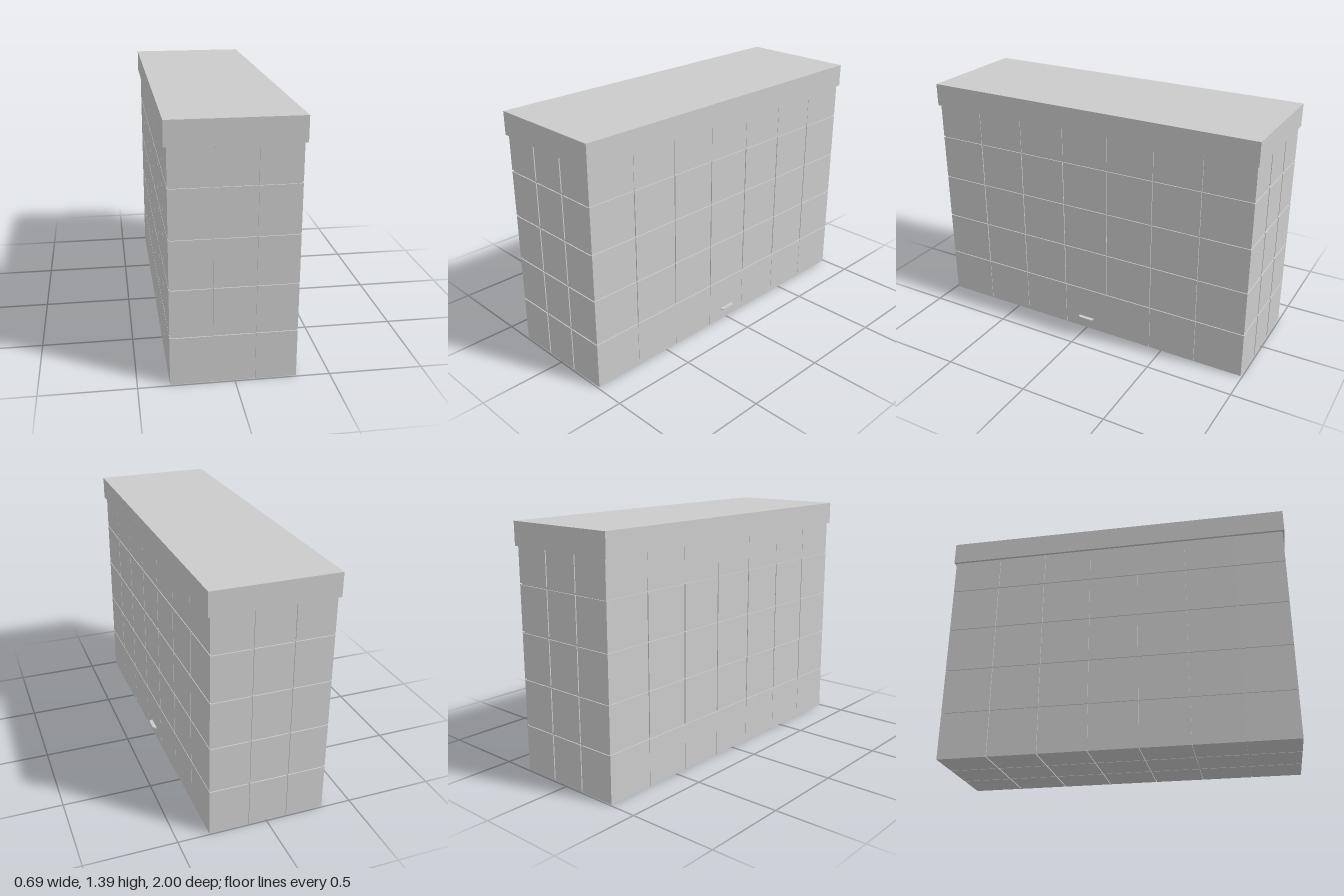
import * as THREE from 'three';

const material = new THREE.MeshStandardMaterial({ color: 0xcccccc, flatShading: true });
const DEPTH = 0.006; // depth of the joints between panels
const XS = [-0.334, -0.115, 0.103, 0.323];
const YS = [0, 0.268, 0.531, 0.795, 1.057, 1.26];
const ZS = [-0.99, -0.705, -0.422, -0.141, 0.141, 0.422, 0.705, 0.99];

// Box given by its lower and upper corners
function block(name, min, max) {
  const geometry = new THREE.BoxGeometry(max[0] - min[0], max[1] - min[1], max[2] - min[2]);
  const mesh = new THREE.Mesh(geometry, material);
  mesh.name = name;
  mesh.position.set((min[0] + max[0]) / 2, (min[1] + max[1]) / 2, (min[2] + max[2]) / 2);
  return mesh;
}

// Span of cell i, trimmed by half a joint at inner edges and by `edge` at the outer ones
function span(list, i, gap, edge = 0) {
  return [
    list[i] + (i === 0 ? edge : gap / 2),
    list[i + 1] - (i === list.length - 2 ? edge : gap / 2),
  ];
}

function eachCell(a, b, fn) {
  for (let i = 0; i < a.length - 1; i++) for (let j = 0; j < b.length - 1; j++) fn(i, j);
}

export function createModel() {
  const model = new THREE.Group();
  model.name = 'panelledCabinet';

  const [x0, x1] = [XS[0], XS[3]];
  const z1 = ZS[7];

  // Core behind the panels, visible in the joints
  model.add(block('core', [x0 + DEPTH, DEPTH, -z1 + DEPTH], [x1 - DEPTH, 1.26, z1 - DEPTH]));

  // Long sides: fine joints, almost closed in the top and bottom rows
  for (const side of [-1, 1]) {
    const group = new THREE.Group();
    group.name = side > 0 ? 'leftPanels' : 'rightPanels';
    const x = side > 0 ? [x1 - DEPTH, x1] : [x0, x0 + DEPTH];
    eachCell(ZS, YS, (i, j) => {
      const z = span(ZS, i, j === 0 || j === 4 ? 0.002 : 0.006);
      const y = span(YS, j, 0.006);
      group.add(block('sidePanel', [x[0], y[0], z[0]], [x[1], y[1], z[1]]));
    });
    model.add(group);
  }

  // Short ends: wider joints
  for (const side of [-1, 1]) {
    const group = new THREE.Group();
    group.name = side > 0 ? 'frontPanels' : 'backPanels';
    const z = side > 0 ? [z1 - DEPTH, z1] : [-z1, -z1 + DEPTH];
    eachCell(XS, YS, (i, j) => {
      const x = span(XS, i, 0.01, DEPTH);
      const y = span(YS, j, 0.012);
      group.add(block('endPanel', [x[0], y[0], z[0]], [x[1], y[1], z[1]]));
    });
    model.add(group);
  }

  // Underside
  const base = new THREE.Group();
  base.name = 'basePanels';
  eachCell(XS, ZS, (i, j) => {
    const x = span(XS, i, 0.006, DEPTH);
    const z = span(ZS, j, 0.006, DEPTH);
    base.add(block('basePanel', [x[0], 0, z[0]], [x[1], DEPTH, z[1]]));
  });
  model.add(base);

  // Overhanging top slab
  model.add(block('topSlab', [-0.349, 1.257, -1], [0.337, 1.387, 1]));

  // Thin pull handle low on one long side
  const outline = new THREE.Shape();
  outline.moveTo(0, -0.05);
  outline.lineTo(0.012, -0.047);
  outline.quadraticCurveTo(0.023, -0.043, 0.023, -0.03);
  outline.lineTo(0.023, 0.03);
  outline.quadraticCurveTo(0.023, 0.043, 0.012, 0.047);
  outline.lineTo(0, 0.05);
  outline.closePath();
  const plate = new THREE.ExtrudeGeometry(outline, { depth: 0.006, bevelEnabled: false, curveSegments: 5 });
  plate.rotateX(Math.PI / 2);
  const handle = new THREE.Mesh(plate, material);
  handle.name = 'handle';
  handle.position.set(x1 - 0.001, 0.075, 0);
  model.add(handle);

  return model;
}
